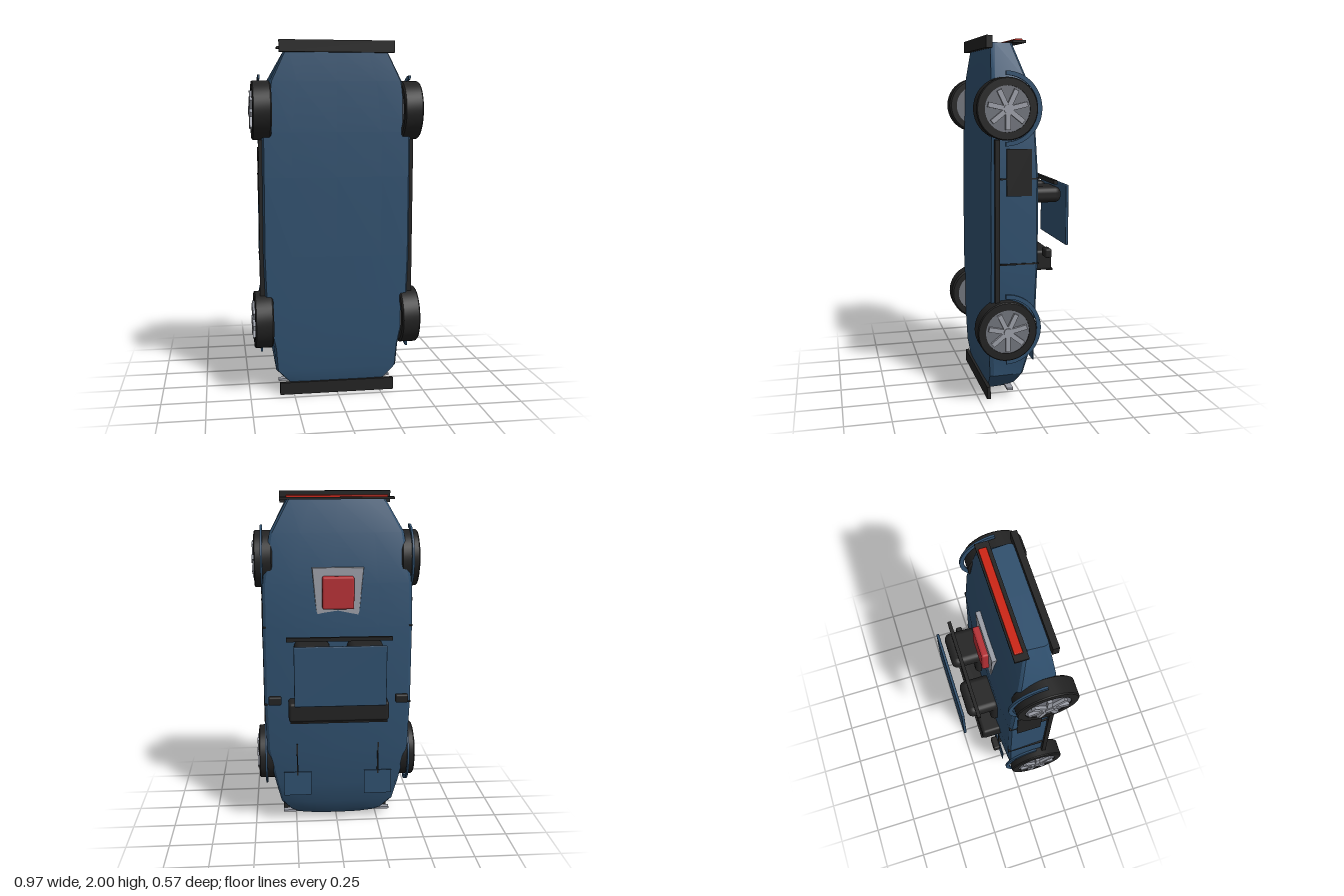
import * as THREE from 'three';
import { toCreasedNormals } from 'three/addons/utils/BufferGeometryUtils.js';
import { RoundedBoxGeometry } from 'three/addons/geometries/RoundedBoxGeometry.js';

const material = (name, color, side = THREE.FrontSide) => {
  const m = new THREE.MeshStandardMaterial({ color, side });
  m.name = name;
  return m;
};

// Car standing on its nose: length along y, roof towards -z, underside towards +z.
export function createModel() {
  const blue = material('blue paint', 0x2f4f6d);
  const black = material('black trim', 0x222222);
  const silver = material('silver', 0x9a9da6);
  const grey = material('rim grey', 0x6f727a);
  const red = material('red cover', 0xb53035);
  const lampRed = material('lamp red', 0xcc2210);

  const model = new THREE.Group();
  model.name = 'car';

  const add = (name, geometry, mat, parent = model) => {
    const mesh = new THREE.Mesh(geometry, mat);
    mesh.name = name;
    parent.add(mesh);
    return mesh;
  };
  // Box given by its limits on each axis, rounded when r > 0
  const box = (name, mat, [x0, x1], [y0, y1], [z0, z1], r = 0) => {
    const size = [x1 - x0, y1 - y0, z1 - z0];
    const geo = r ? new RoundedBoxGeometry(...size, 3, r) : new THREE.BoxGeometry(...size);
    const mesh = add(name, geo, mat);
    mesh.position.set((x0 + x1) / 2, (y0 + y1) / 2, (z0 + z1) / 2);
    return mesh;
  };
  const pair = (name, mat, [x0, x1], y, z, r) => {
    box(name + 'Left', mat, [x0, x1], y, z, r);
    box(name + 'Right', mat, [-x1, -x0], y, z, r);
  };

  // Body shell: y, underside half width, underside z, shoulder half width, shoulder z, crown z
  const sections = [
    [0.04, 0.25, 0.18, 0.24, 0.06, 0.035],
    [0.07, 0.28, 0.19, 0.28, 0.03, 0.015],
    [0.14, 0.35, 0.195, 0.34, 0.0, -0.018],
    [0.27, 0.36, 0.2, 0.37, -0.03, -0.045],
    [0.5, 0.41, 0.2, 0.42, -0.05, -0.068],
    [0.8, 0.42, 0.2, 0.43, -0.06, -0.08],
    [1.25, 0.42, 0.2, 0.43, -0.06, -0.083],
    [1.5, 0.42, 0.195, 0.425, -0.045, -0.06],
    [1.78, 0.37, 0.188, 0.38, -0.005, -0.025],
    [1.965, 0.28, 0.17, 0.275, 0.05, 0.035],
  ];
  const rings = sections.map(([y, xb, zb, xt, zt, crown]) => {
    const half = [
      [0, zb], [xb * 0.6, zb], [xb * 0.97, zb - 0.004], [xb, zb - 0.025],
      [xt, zt + 0.012], [xt * 0.96, zt], [xt * 0.55, zt + (crown - zt) * 0.8], [0, crown],
    ];
    const mirrored = half.slice(1, -1).reverse().map(([x, z]) => [-x, z]);
    return [...half, ...mirrored].map(([x, z]) => [x, y, z]);
  });
  const n = rings[0].length;
  const verts = [];
  const tri = (...points) => points.forEach((p) => verts.push(...p));
  for (let i = 0; i < rings.length - 1; i++) {
    for (let j = 0; j < n; j++) {
      const k = (j + 1) % n;
      tri(rings[i][j], rings[i][k], rings[i + 1][j]);
      tri(rings[i][k], rings[i + 1][k], rings[i + 1][j]);
    }
  }
  const nose = rings[0], tail = rings[rings.length - 1];
  for (let j = 0; j < n; j++) {
    const k = (j + 1) % n;
    tri([0, nose[0][1], 0.12], nose[k], nose[j]);
    tri([0, tail[0][1], 0.12], tail[j], tail[k]);
  }
  const shell = new THREE.BufferGeometry();
  shell.setAttribute('position', new THREE.Float32BufferAttribute(verts, 3));
  add('body', toCreasedNormals(shell, 0.35), blue);

  // Wheels with spoked rims, and the arch lip above each
  const tyreGeo = toCreasedNormals(new THREE.LatheGeometry([
    [0.12, -0.052], [0.153, -0.052], [0.163, -0.044], [0.163, 0.046],
    [0.158, 0.052], [0.12, 0.052], [0.12, -0.052],
  ].map(([r, h]) => new THREE.Vector2(r, h)), 40), 0.5);
  const rimGeo = new THREE.CylinderGeometry(0.121, 0.121, 0.094, 32);
  const hubGeo = new THREE.CylinderGeometry(0.024, 0.024, 0.024, 16);
  const spokeGeo = new THREE.BoxGeometry(0.098, 0.02, 0.026);
  const arc = new THREE.Shape();
  arc.absarc(0, 0, 0.195, -Math.PI / 2, Math.PI / 2, false);
  arc.absarc(0, 0, 0.172, Math.PI / 2, -Math.PI / 2, true);
  const archGeo = toCreasedNormals(
    new THREE.ExtrudeGeometry(arc, { depth: 0.012, bevelEnabled: false, curveSegments: 24 }), 0.5);
  archGeo.translate(0, 0, -0.006).rotateY(Math.PI / 2);

  for (const [end, y] of [['front', 0.43], ['rear', 1.62]]) {
    for (const side of [1, -1]) {
      const label = end + (side > 0 ? 'Left' : 'Right');
      const wheel = new THREE.Group();
      wheel.name = label + 'Wheel';
      wheel.position.set(side * 0.418, y, 0.12);
      wheel.rotation.z = -side * Math.PI / 2;
      model.add(wheel);
      add('tyre', tyreGeo, black, wheel);
      add('rim', rimGeo, grey, wheel);
      add('hub', hubGeo, silver, wheel).position.y = 0.056;
      for (let s = 0; s < 7; s++) {
        const a = (s / 7) * Math.PI * 2;
        const spoke = add('spoke', spokeGeo, silver, wheel);
        spoke.position.set(Math.cos(a) * 0.058, 0.053, Math.sin(a) * 0.058);
        spoke.rotation.y = -a;
      }
      add(label + 'ArchLip', archGeo, blue).position.set(side * 0.427, y, 0.12);
    }
  }

  // Bumpers, side skirts, intakes and door gaps
  box('frontSplitter', black, [-0.33, 0.33], [0, 0.07], [0.185, 0.205]);
  box('rearBumper', black, [-0.32, 0.32], [1.935, 2], [0.167, 0.2]);
  pair('sideSkirt', black, [0.4, 0.437], [0.58, 1.46], [0.155, 0.18]);
  pair('sideIntake', black, [0.41, 0.433], [1.16, 1.41], [-0.02, 0.115]);
  pair('frontDoorGap', black, [0.41, 0.432], [0.787, 0.795], [-0.062, 0.15]);
  pair('rearDoorGap', black, [0.41, 0.432], [1.248, 1.256], [-0.062, 0.15]);

  // Nose: grille and headlight strips
  box('grille', black, [-0.22, 0.22], [0.034, 0.06], [0.1, 0.16]);
  pair('headlightStrip', silver, [0.2, 0.33], [0.042, 0.054], [0.055, 0.09]);

  // Tail lamp panel
  box('lampPanel', black, [-0.32, 0.32], [1.962, 1.975], [-0.016, 0.056]);
  box('tailLamp', lampRed, [-0.285, 0.285], [1.97, 1.985], [-0.007, 0.036], 0.004);

  // Hood flaps and the creases behind them
  pair('hoodFlap', blue, [0.16, 0.325], [0.21, 0.36], [-0.065, -0.058]);
  pair('hoodCrease', black, [0.238, 0.246], [0.34, 0.54], [-0.068, -0.05]);

  // Engine cover: tapered silver plate with a red block
  const plate = new THREE.Shape([
    [-0.115, 1.315], [0.115, 1.315], [0.14, 1.585], [-0.14, 1.585],
  ].map(([x, y]) => new THREE.Vector2(x, y)));
  add('enginePlate', new THREE.ExtrudeGeometry(plate, {
    depth: 0.035, bevelSize: 0.006, bevelThickness: 0.006, bevelSegments: 2,
  }), silver).position.z = -0.068;
  box('engineCover', red, [-0.09, 0.09], [1.36, 1.545], [-0.11, -0.05], 0.012);

  // Cockpit: seats, dashboard, mirrors, roll bar and floating roof panel
  pair('seatCushion', black, [0.05, 0.255], [0.935, 1.16], [-0.112, -0.05], 0.025);
  pair('seatBack', black, [0.05, 0.255], [1.09, 1.18], [-0.245, -0.06], 0.035);
  box('dashboard', black, [-0.29, 0.29], [0.715, 0.83], [-0.178, -0.05], 0.018);
  box('dashboardLip', black, [-0.28, 0.28], [0.712, 0.722], [-0.186, -0.15]);
  pair('mirror', black, [0.33, 0.405], [0.81, 0.86], [-0.144, -0.106], 0.01);
  box('rollBar', black, [-0.298, 0.298], [1.2, 1.222], [-0.204, -0.184]);
  box('roofPanel', blue, [-0.258, 0.258], [0.845, 1.19], [-0.284, -0.268], 0.006);

  return model;
}
